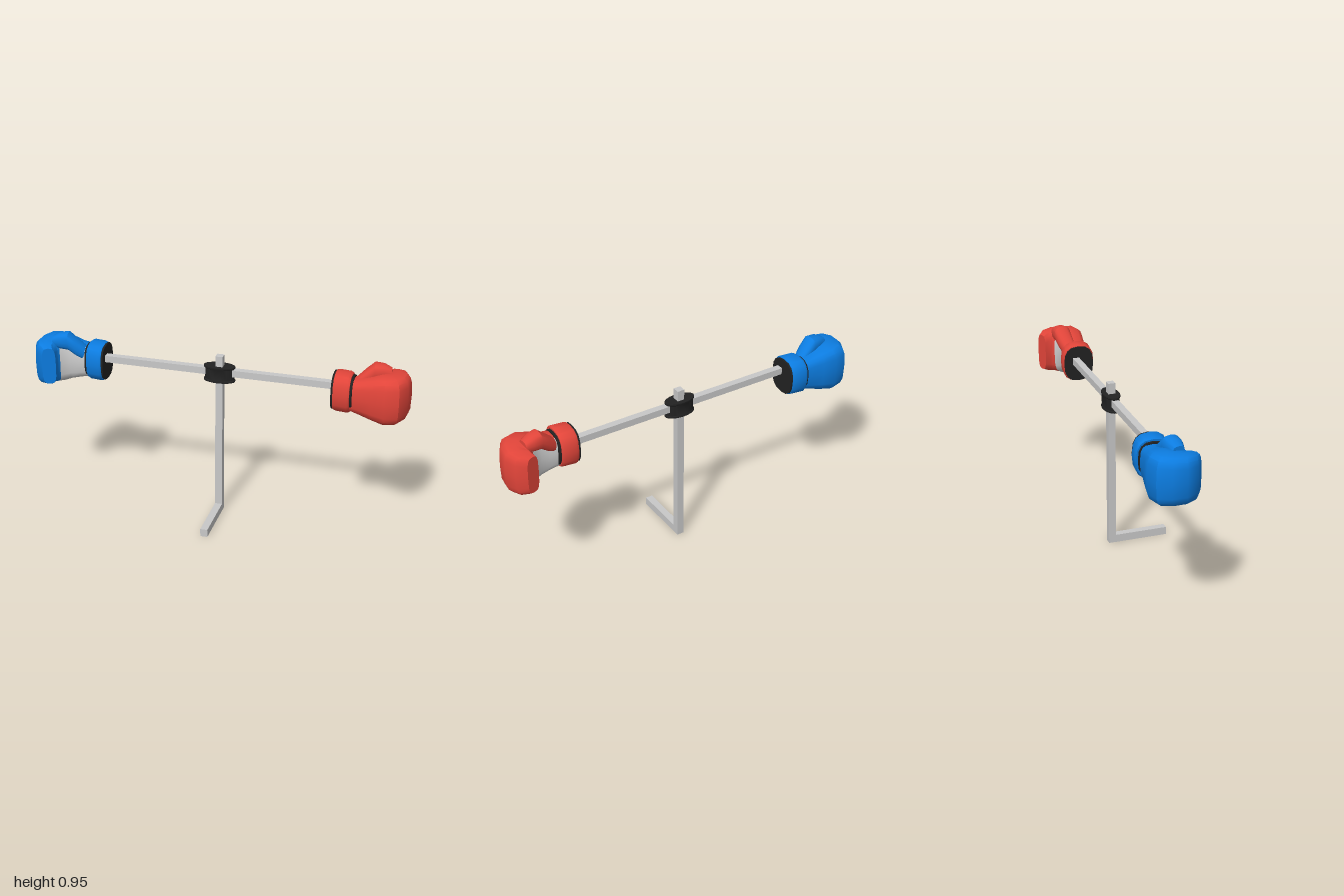
import * as THREE from 'three';
import { toCreasedNormals } from 'three/addons/utils/BufferGeometryUtils.js';

const mat = (name, color) => {
  const m = new THREE.MeshStandardMaterial({ color });
  m.name = name;
  return m;
};

const PIVOT_Z = -0.09; // both gloves are the same shape turned half round this axis
const SIDES = 16;

// Each section: [outer x, outer z, inner x, inner z, centre y, half height]
function loft(sections, keep = () => true, caps = true, power = 0.55) {
  const pos = [], idx = [];
  const soft = t => Math.sign(t) * Math.pow(Math.abs(t), power);
  for (const [ox, oz, ix, iz, cy, h] of sections) {
    for (let j = 0; j < SIDES; j++) {
      const a = (j / SIDES) * Math.PI * 2;
      const u = soft(Math.cos(a)), v = soft(Math.sin(a));
      pos.push((ox + ix) / 2 + (ox - ix) / 2 * u, cy + h * v,
        (oz + iz) / 2 + (oz - iz) / 2 * u - PIVOT_Z);
    }
  }
  for (let i = 0; i < sections.length - 1; i++) {
    for (let j = 0; j < SIDES; j++) {
      if (!keep(i, j)) continue;
      const k = (j + 1) % SIDES;
      const a = i * SIDES + j, b = i * SIDES + k, c = b + SIDES, d = a + SIDES;
      idx.push(a, c, b, a, d, c);
    }
  }
  if (caps) {
    for (const s of [0, sections.length - 1]) {
      const [ox, oz, ix, iz, cy] = sections[s];
      const c = pos.length / 3, base = s * SIDES;
      pos.push((ox + ix) / 2, cy, (oz + iz) / 2 - PIVOT_Z);
      for (let j = 0; j < SIDES; j++) {
        const k = (j + 1) % SIDES;
        if (s === 0) idx.push(c, base + j, base + k);
        else idx.push(c, base + k, base + j);
      }
    }
  }
  const g = new THREE.BufferGeometry();
  g.setAttribute('position', new THREE.Float32BufferAttribute(pos, 3));
  g.setIndex(idx);
  return toCreasedNormals(g, 0.65);
}

// Mitten sections run from the wrist over the knuckles and curl to the fingertips
const HAND = [
  [0.69, 0.005, 0.69, -0.13, 0.79, 0.08],
  [0.75, 0.010, 0.75, -0.12, 0.785, 0.092],
  [0.81, 0.022, 0.80, -0.12, 0.785, 0.108],
  [0.88, 0.035, 0.835, -0.13, 0.785, 0.124],
  [0.95, 0.015, 0.848, -0.14, 0.785, 0.126],
  [0.985, -0.05, 0.855, -0.15, 0.785, 0.122],
  [0.993, -0.12, 0.855, -0.16, 0.785, 0.118],
  [0.968, -0.18, 0.855, -0.175, 0.785, 0.112],
  [0.92, -0.213, 0.852, -0.19, 0.785, 0.10],
];

const THUMB = [
  [0.715, -0.05, 0.715, -0.12, 0.83, 0.035],
  [0.77, -0.055, 0.76, -0.14, 0.868, 0.045],
  [0.81, -0.06, 0.80, -0.15, 0.902, 0.047],
  [0.855, -0.07, 0.845, -0.152, 0.902, 0.042],
  [0.892, -0.085, 0.885, -0.145, 0.897, 0.028],
];

const CUFF = [
  [0.617, 0.012, 0.617, -0.155, 0.795, 0.098],
  [0.63, 0.018, 0.63, -0.158, 0.795, 0.102],
  [0.69, 0.026, 0.69, -0.15, 0.795, 0.102],
  [0.702, 0.022, 0.702, -0.143, 0.795, 0.096],
];

const LINER = [
  [0.607, 0.010, 0.607, -0.153, 0.795, 0.096],
  [0.66, 0.012, 0.66, -0.145, 0.795, 0.092],
  [0.714, 0.014, 0.714, -0.136, 0.795, 0.087],
];

function glove(name, leather, palm, black) {
  const group = new THREE.Group();
  group.name = name;
  const add = (part, geometry, material) => {
    const m = new THREE.Mesh(geometry, material);
    m.name = part;
    group.add(m);
  };
  // Palm panel covers the inner side between wrist and fingers
  const isPalm = (i, j) => i < 4 && Math.cos((j + 0.5) / SIDES * Math.PI * 2) < -0.35;
  add('mitten', loft(HAND, (i, j) => !isPalm(i, j)), leather);
  add('palm', loft(HAND, isPalm, false), palm);
  add('thumb', loft(THUMB, undefined, true, 0.75), leather);
  add('cuff', loft(CUFF, undefined, true, 0.75), leather);
  add('cuffLiner', loft(LINER, undefined, true, 0.75), black);
  group.position.z = PIVOT_Z;
  return group;
}

export function createModel() {
  const root = new THREE.Group();
  root.name = 'spinningGloveStand';
  const metal = mat('steel', 0xc8c8c8);
  const palm = mat('palmGrey', 0xcacaca);
  const black = mat('black', 0x222222);
  const red = mat('redLeather', 0xe2453a);
  const blue = mat('blueLeather', 0x0c7ce0);

  const box = (name, w, h, d, x, y, z) => {
    const m = new THREE.Mesh(new THREE.BoxGeometry(w, h, d), metal);
    m.name = name;
    m.position.set(x, y, z);
    root.add(m);
  };
  // Stand and crossbar
  box('post', 0.038, 0.9, 0.038, 0.012, 0.45, -0.086);
  box('foot', 0.038, 0.042, 0.282, 0.012, 0.021, 0.074);
  box('crossbar', 1.28, 0.036, 0.036, 0, 0.812, -0.088);

  // Oval hub with thin lips at top and bottom
  const profile = [[0, 0.762], [0.083, 0.762], [0.083, 0.770], [0.078, 0.774],
    [0.078, 0.832], [0.083, 0.836], [0.083, 0.844], [0, 0.844]]
    .map(([x, y]) => new THREE.Vector2(x, y));
  const hubGeometry = new THREE.LatheGeometry(profile, 32);
  hubGeometry.scale(1, 1, 0.52);
  const hub = new THREE.Mesh(toCreasedNormals(hubGeometry, 0.6), black);
  hub.name = 'hub';
  hub.position.set(0.01, 0, -0.087);
  root.add(hub);

  // Gloves
  root.add(glove('leftGlove', red, palm, black));
  const right = glove('rightGlove', blue, palm, black);
  right.rotation.y = Math.PI;
  right.position.y = -0.01;
  root.add(right);
  return root;
}
